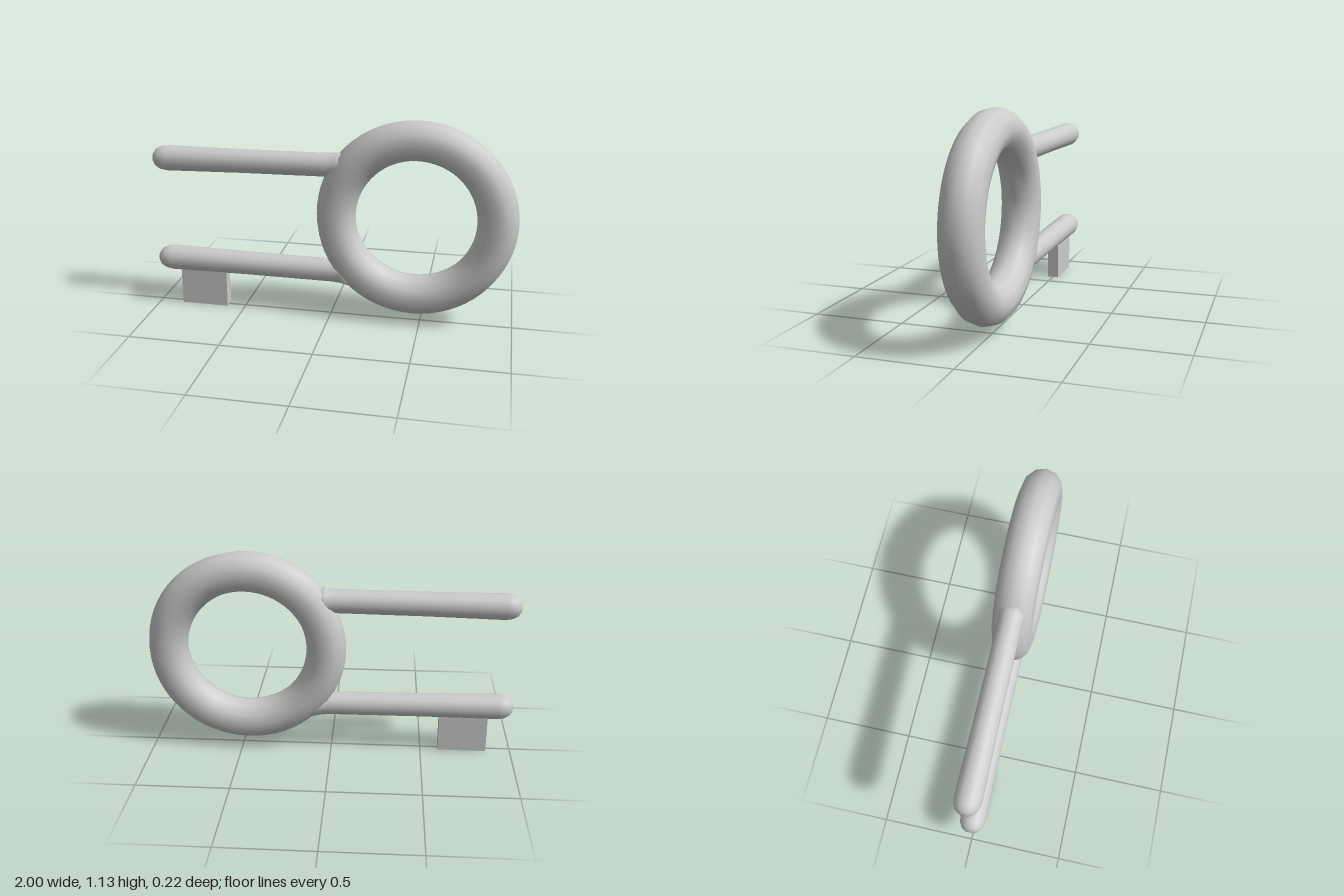
import * as THREE from 'three';

export function createModel() {
  const group = new THREE.Group();
  const material = new THREE.MeshStandardMaterial({ color: 0xcccccc });
  const add = (name, geometry, x, y) => {
    const mesh = new THREE.Mesh(geometry, material);
    mesh.name = name;
    mesh.position.set(x, y, 0);
    group.add(mesh);
    return mesh;
  };

  // Ring handle
  add('ringHandle', new THREE.TorusGeometry(0.432, 0.108, 12, 64), 0.46, 0.588);

  // Prongs: rounded tip, slight taper, small flare where they join the ring
  const prong = (name, y, tilt, length) => {
    const profile = [
      [0, 0], [0.028, 0.003], [0.05, 0.019], [0.064, 0.045], [0.07, 0.085],
      [0.065, 0.5], [0.064, length - 0.14], [0.068, length - 0.09], [0.08, length - 0.04], [0, length],
    ].map(([r, h]) => new THREE.Vector2(r, h));
    add(name, new THREE.LatheGeometry(profile, 16), -1, y).rotation.z = -Math.PI / 2 + tilt;
  };
  prong('upperProng', 0.854, 0.011, 1.12);
  prong('lowerProng', 0.267, -0.007, 1.15);

  // Flat tab hanging under the lower prong
  add('tab', new THREE.BoxGeometry(0.266, 0.25, 0.064), -0.732, 0.125);

  return group;
}
